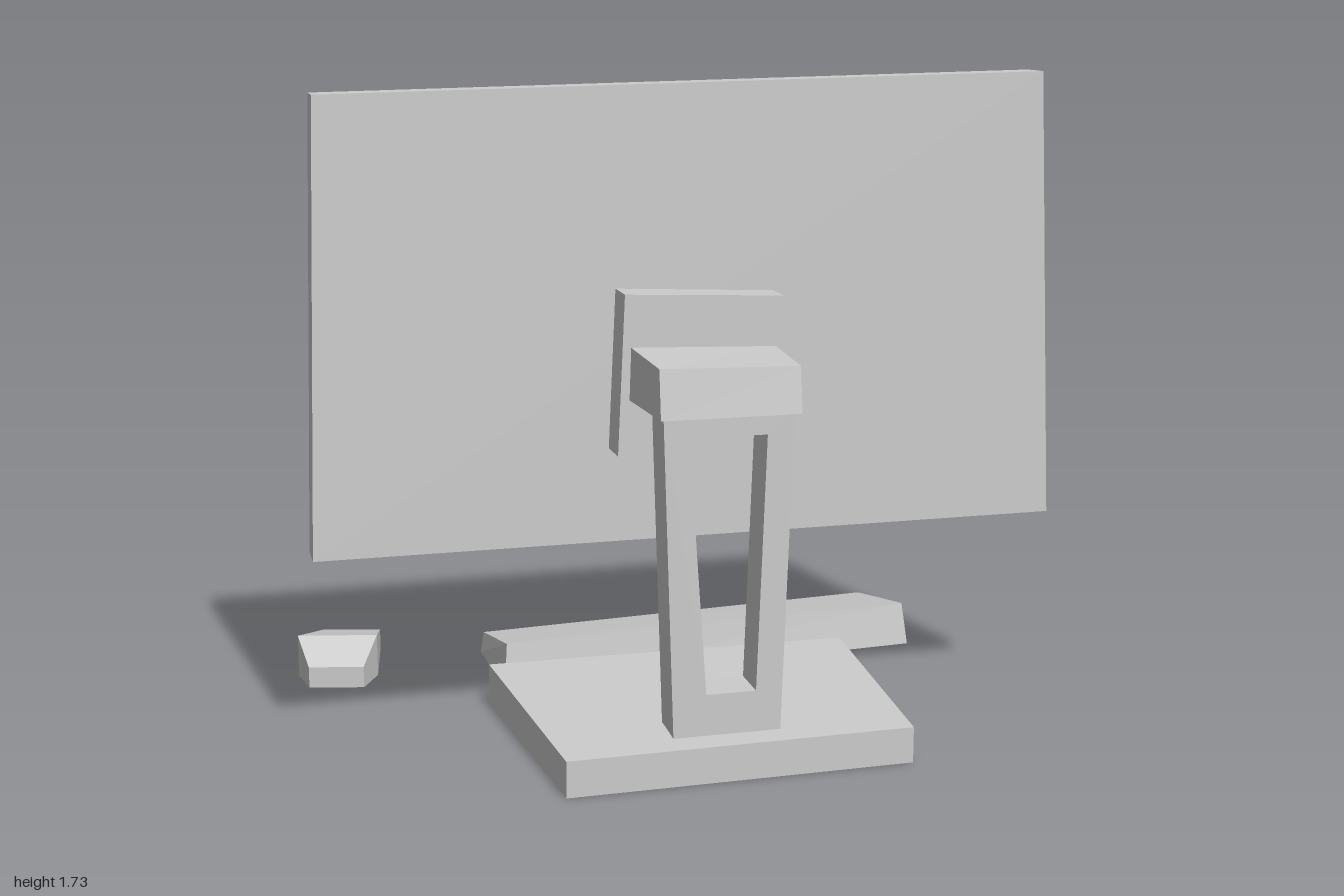
import * as THREE from 'three';

const material = new THREE.MeshStandardMaterial({ color: 0xcccccc, flatShading: true });

// Solid between two matching rings, counter-clockwise as seen from the end ring.
function solid(name, start, end) {
  const n = start.length;
  const pos = [];
  const tri = (a, b, c) => pos.push(...a, ...b, ...c);
  for (let i = 0; i < n; i++) {
    const j = (i + 1) % n;
    tri(start[i], start[j], end[j]);
    tri(start[i], end[j], end[i]);
  }
  for (let i = 1; i < n - 1; i++) {
    tri(end[0], end[i], end[i + 1]);
    tri(start[0], start[i + 1], start[i]);
  }
  const geo = new THREE.BufferGeometry();
  geo.setAttribute('position', new THREE.Float32BufferAttribute(pos, 3));
  geo.computeVertexNormals();
  const mesh = new THREE.Mesh(geo, material);
  mesh.name = name;
  return mesh;
}

// Ring of [x, y] points at depth z.
const ringXY = (pts, z) => pts.map(([x, y]) => [x, y, z]);
// Ring of [x, z] points on the ground.
const floor = (pts) => pts.map(([x, z]) => [x, 0, z]);

export function createModel() {
  const model = new THREE.Group();

  // Slightly crooked screen slab
  const screen = [[-1, 0.525], [1, 0.525], [0.945, 1.725], [-0.965, 1.69]];
  model.add(solid('screen', ringXY(screen, 0.135), ringXY(screen, 0.235)));

  // Mounting plate behind the screen
  const plate = [[-0.235, 0.775], [0.215, 0.785], [0.205, 1.17], [-0.215, 1.19]];
  model.add(solid('mountPlate', ringXY(plate, 0.235),
    plate.map(([x, y]) => [x, y, x < 0 ? 0.34 : 0.328])));

  // Arm from the plate to the neck
  model.add(solid('mountArm',
    ringXY([[-0.205, 0.92], [0.19, 0.918], [0.185, 1.04], [-0.2, 1.055]], 0.325),
    [[-0.19, 0.92, 0.605], [0.17, 0.918, 0.598], [0.17, 1.035, 0.582], [-0.19, 1.045, 0.59]]));

  // Neck with a tapered cut-out
  const neckShape = new THREE.Shape(
    [[-0.15, 0.09], [0.13, 0.09], [0.16, 0.925], [-0.175, 0.925]].map((p) => new THREE.Vector2(...p)));
  neckShape.holes.push(new THREE.Path(
    [[-0.065, 0.205], [-0.11, 0.865], [0.09, 0.865], [0.065, 0.205]].map((p) => new THREE.Vector2(...p))));
  const neck = new THREE.Mesh(
    new THREE.ExtrudeGeometry(neckShape, { depth: 0.115, bevelEnabled: false }), material);
  neck.position.z = 0.456;
  neck.name = 'neck';
  model.add(neck);

  // Stand base, a little higher at the back
  const base = [[-0.44, 0.648], [0.465, 0.64], [0.5, -0.038], [-0.51, -0.058]];
  model.add(solid('standBase', floor(base),
    base.map(([x, z]) => [x, z > 0.3 ? 0.095 : 0.115, z])));

  // Wedge-shaped keyboard
  model.add(solid('keyboard',
    floor([[-0.445, -0.185], [0.795, -0.265], [0.775, -0.61], [-0.46, -0.51]]),
    [[-0.435, 0.122, -0.2], [0.782, 0.122, -0.283], [0.762, 0.06, -0.612], [-0.45, 0.06, -0.512]]));

  // Faceted mouse: ridge across the middle, low at both ends
  const mouse = [[-1, -0.43], [-0.98, -0.32], [-0.83, -0.285],
    [-0.78, -0.38], [-0.745, -0.615], [-0.91, -0.655]];
  model.add(solid('mouse', floor(mouse),
    mouse.map(([x, z], i) => [x, i % 3 === 0 ? 0.12 : 0.06, z])));

  return model;
}
